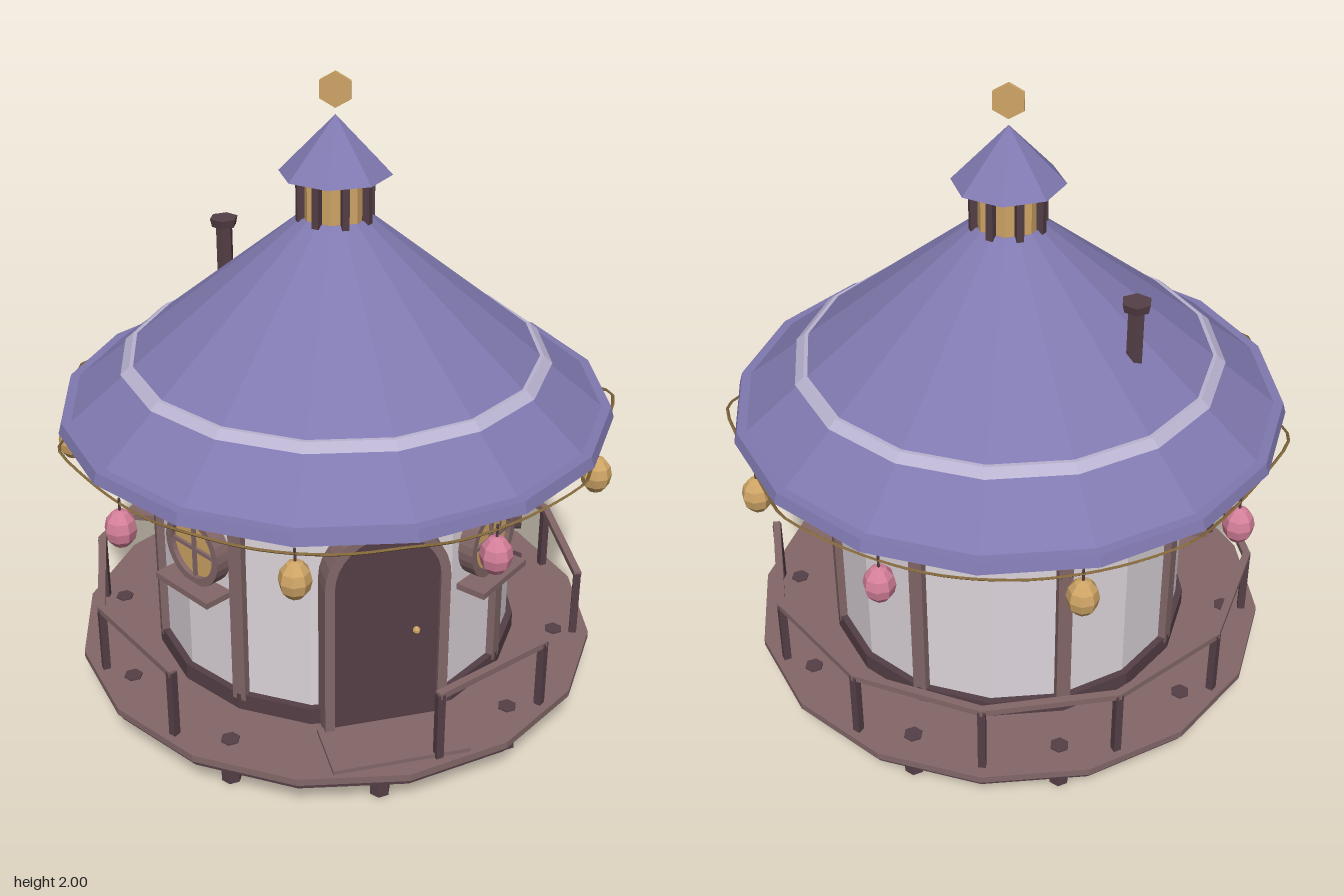
import * as THREE from 'three';

const mat = (name, color, extra = {}) => {
  const m = new THREE.MeshStandardMaterial({ color, flatShading: true, ...extra });
  m.name = name;
  return m;
};
const rad = THREE.MathUtils.degToRad;

export function createModel() {
  const roofBlue = mat('roof lavender', 0x8079b0);
  const trim = mat('pale trim', 0xb9b3d0);
  const plaster = mat('plaster', 0xdcd4da);
  const wood = mat('wood', 0x836768);
  const darkWood = mat('dark wood', 0x553f47);
  const gold = mat('gold', 0xcfa566);
  const pink = mat('pink', 0xd5809a);
  const rope = mat('rope', 0x80653a);

  const model = new THREE.Group();
  const add = (parent, name, geo, material, x = 0, y = 0, z = 0) => {
    const m = new THREE.Mesh(geo, material);
    m.name = name;
    m.position.set(x, y, z);
    parent.add(m);
    return m;
  };
  const group = (name, parent = model) => {
    const g = new THREE.Group();
    g.name = name;
    parent.add(g);
    return g;
  };
  // group turned about the centre so that its +z points outward at the angle
  const turned = (name, deg, parent = model) => {
    const g = group(name, parent);
    g.rotation.y = rad(deg);
    return g;
  };
  const box = (w, h, d) => new THREE.BoxGeometry(w, h, d);
  // prism or frustum standing between two heights
  const drum = (parent, name, r0, r1, y0, y1, sides, material, x = 0, z = 0) =>
    add(parent, name, new THREE.CylinderGeometry(r1, r0, y1 - y0, sides), material, x, (y0 + y1) / 2, z);

  // deck and stilts
  drum(model, 'deckFrame', 0.83, 0.83, 0.1, 0.125, 16, darkWood);
  drum(model, 'deck', 0.845, 0.845, 0.122, 0.145, 16, wood);
  const stilts = group('stilts');
  drum(stilts, 'centreStilt', 0.032, 0.03, 0, 0.11, 6, darkWood);
  for (let i = 0; i < 10; i++) {
    const a = rad(36 * i);
    drum(stilts, 'stilt', 0.032, 0.03, 0, 0.15, 6, darkWood, 0.73 * Math.cos(a), 0.73 * Math.sin(a));
  }

  // railing, open at the door and on one side bay
  const railing = group('railing');
  const railR = 0.794;
  for (let a = 30; a <= 330; a += 30) {
    const post = turned('railPost', a, railing);
    add(post, 'railPost', box(0.024, 0.235, 0.024), darkWood, 0, 0.255, railR);
    if (a === 60 || a === 330) continue;
    const bay = turned('railBay', a + 15, railing);
    add(bay, 'handRail', box(2 * railR * Math.sin(rad(15)) + 0.015, 0.02, 0.024), wood, 0, 0.37, railR * Math.cos(rad(15)));
  }

  // round wall with skirting and timber posts
  drum(model, 'skirting', 0.592, 0.592, 0.14, 0.2, 16, darkWood);
  drum(model, 'wall', 0.57, 0.57, 0.15, 0.955, 16, plaster);
  for (let i = 0; i < 8; i++) {
    const g = turned('wallPost', 22.5 + 45 * i);
    const bottom = i === 0 ? 0.8 : 0.18;
    add(g, 'wallPost', box(0.045, 0.955 - bottom, 0.045), wood, 0, (0.955 + bottom) / 2, 0.568);
  }

  // arched door with frame, knob and step
  const door = turned('door', 22);
  const springing = 0.515;
  const arch = (w) => {
    const s = new THREE.Shape();
    s.moveTo(w, 0);
    s.lineTo(w, springing);
    s.absarc(0, springing, w, 0, Math.PI, false);
    s.lineTo(-w, 0);
    return s;
  };
  const frame = arch(0.19);
  frame.lineTo(-0.16, 0);
  frame.lineTo(-0.16, springing);
  frame.absarc(0, springing, 0.16, Math.PI, 0, true);
  frame.lineTo(0.16, 0);
  const extrude = (s, depth, curveSegments = 8) =>
    new THREE.ExtrudeGeometry(s, { depth, bevelEnabled: false, curveSegments });
  add(door, 'doorFrame', extrude(frame, 0.095), wood, 0, 0.145, 0.52);
  add(door, 'doorPanel', extrude(arch(0.162), 0.08), darkWood, 0, 0.145, 0.52);
  add(door, 'doorKnob', new THREE.SphereGeometry(0.012, 6, 5), gold, 0.09, 0.478, 0.61);
  add(door, 'doorStep', box(0.42, 0.016, 0.2), wood, 0, 0.15, 0.69);

  // round windows
  const ring = new THREE.Shape().absarc(0, 0, 0.119, 0, Math.PI * 2);
  ring.holes.push(new THREE.Path().absarc(0, 0, 0.094, 0, Math.PI * 2, true));
  const ringGeo = extrude(ring, 0.06, 14);
  const paneGeo = new THREE.CylinderGeometry(0.1, 0.1, 0.04, 14).rotateX(Math.PI / 2);
  for (const a of [-90, -38, 60, 90]) {
    const w = turned('window', a);
    add(w, 'windowFrame', ringGeo, wood, 0, 0.664, 0.543);
    add(w, 'windowPane', paneGeo, gold, 0, 0.664, 0.567);
    add(w, 'windowBar', box(0.012, 0.19, 0.012), wood, 0, 0.664, 0.59);
    add(w, 'windowBar', box(0.19, 0.012, 0.012), wood, 0, 0.664, 0.59);
    if (a !== 90) add(w, 'windowSill', box(0.24, 0.02, 0.1), wood, 0, 0.541, 0.6);
  }

  // roof with eave and pale band
  drum(model, 'eave', 0.865, 0.855, 0.95, 0.985, 16, roofBlue);
  drum(model, 'roof', 0.825, 0.105, 0.985, 1.57, 16, roofBlue);
  drum(model, 'roofBand', 0.667, 0.64, 1.122, 1.145, 16, trim);

  // lantern turret and finial
  drum(model, 'turretGlow', 0.105, 0.105, 1.54, 1.705, 8, gold);
  for (let i = 0; i < 8; i++) {
    const g = turned('turretPost', 22.5 + 45 * i);
    add(g, 'turretPost', box(0.022, 0.145, 0.022), darkWood, 0, 1.632, 0.108);
  }
  add(model, 'turretRoof', new THREE.ConeGeometry(0.17, 0.175, 8), roofBlue, 0, 1.787, 0);
  add(model, 'finial', new THREE.CylinderGeometry(0.053, 0.053, 0.014, 6).rotateX(Math.PI / 2), gold, 0, 1.947, 0);

  // chimney
  const chimney = group('chimney');
  drum(chimney, 'chimneyPipe', 0.027, 0.027, 1.2, 1.435, 6, darkWood, -0.388, -0.234);
  drum(chimney, 'chimneyCap', 0.04, 0.046, 1.43, 1.457, 6, darkWood, -0.388, -0.234);

  // garland pinned under the eave, dipping to each paper lantern
  const garland = group('garland');
  const points = [];
  const polar = (deg, r, y) => new THREE.Vector3(r * Math.sin(rad(deg)), y, r * Math.cos(rad(deg)));
  const bulb = new THREE.SphereGeometry(0.048, 8, 6).scale(1, 1.25, 1);
  const pinkOnes = [1, 4, 6, 8];
  for (let i = 0; i < 9; i++) {
    const a = 40 * i;
    points.push(polar(a, 0.83, 0.908), polar(a + 10, 0.843, 0.918), polar(a + 20, 0.88, 0.95), polar(a + 30, 0.843, 0.918));
    const p = polar(a, 0.83, 0.826);
    add(garland, 'paperLantern', bulb, pinkOnes.includes(i) ? pink : gold, p.x, p.y, p.z);
    drum(garland, 'lanternCord', 0.004, 0.004, 0.88, 0.925, 4, darkWood, p.x, p.z);
  }
  const curve = new THREE.CatmullRomCurve3(points, true);
  add(garland, 'garlandRope', new THREE.TubeGeometry(curve, 108, 0.005, 4, true), rope);

  return model;
}
